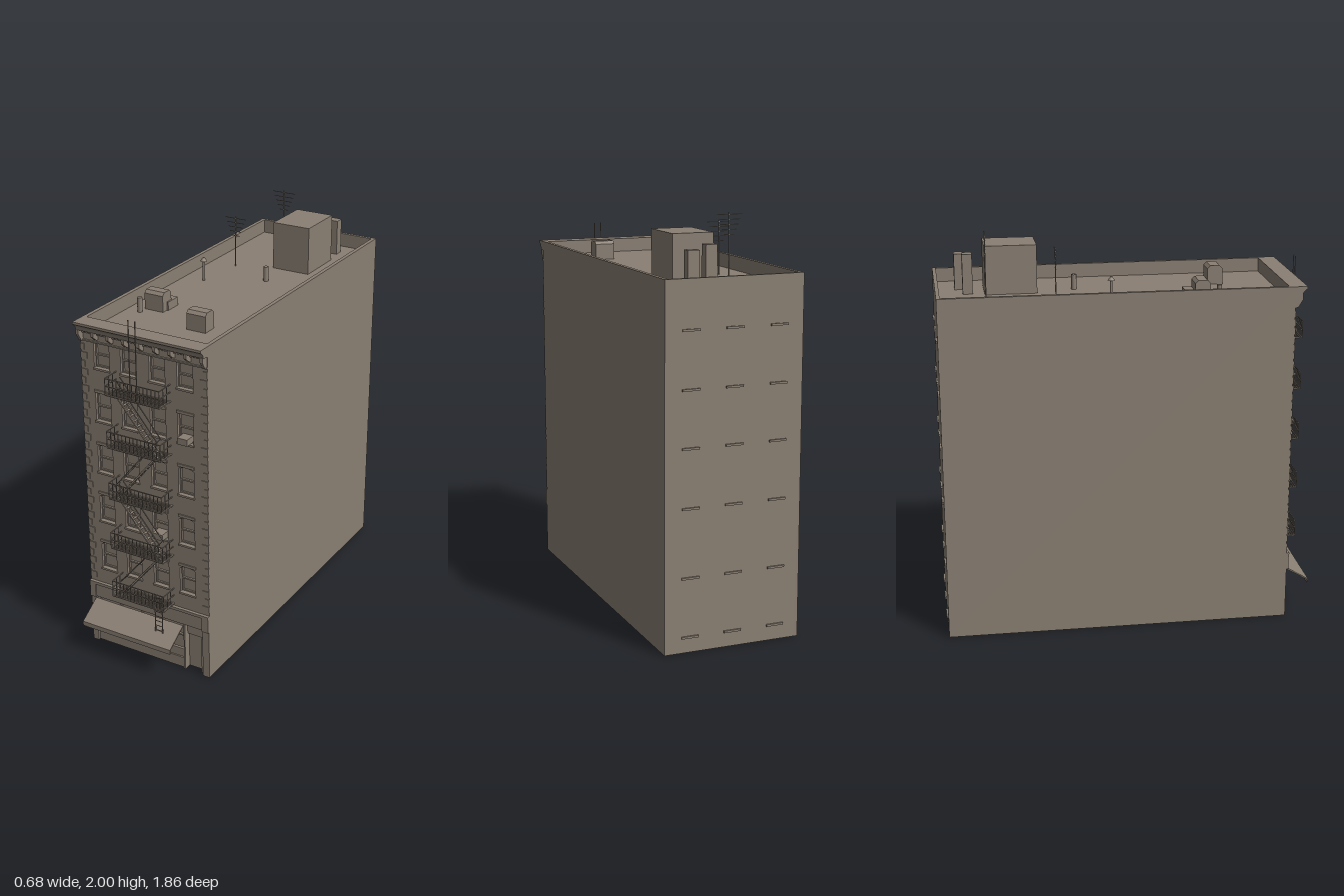
import * as THREE from 'three';

const stone = new THREE.MeshStandardMaterial({ color: 0x8a7f73, side: THREE.DoubleSide });
stone.name = 'taupe stone';

const W = 0.342, FRONT = 0.8, BACK = -0.922, TOP = 1.74, ROOF = 1.67;

function add(parent, name, geometry) {
  const mesh = new THREE.Mesh(geometry, stone);
  mesh.name = name;
  parent.add(mesh);
  return mesh;
}

// Box given by its limits on each axis
function box(parent, name, x0, x1, y0, y1, z0, z1) {
  const mesh = add(parent, name, new THREE.BoxGeometry(x1 - x0, y1 - y0, z1 - z0));
  mesh.position.set((x0 + x1) / 2, (y0 + y1) / 2, (z0 + z1) / 2);
  return mesh;
}

// Square bar between two points
function bar(parent, name, a, b, size = 0.004) {
  const from = new THREE.Vector3(...a), to = new THREE.Vector3(...b);
  const mesh = add(parent, name, new THREE.BoxGeometry(size, size, from.distanceTo(to)));
  mesh.position.copy(from).add(to).multiplyScalar(0.5);
  mesh.lookAt(to);
  return mesh;
}

function cylinder(parent, name, x, z, r, y0, y1, rTop = r) {
  const mesh = add(parent, name, new THREE.CylinderGeometry(rTop, r, y1 - y0, 10));
  mesh.position.set(x, (y0 + y1) / 2, z);
}

// Side profile of [z, y] points extruded across x0..x1
function profile(parent, name, points, x0, x1) {
  const shape = new THREE.Shape(points.map(([z, y]) => new THREE.Vector2(-z, y)));
  const geometry = new THREE.ExtrudeGeometry(shape, { depth: x1 - x0, bevelEnabled: false });
  geometry.rotateY(Math.PI / 2);
  geometry.translate(x0, 0, 0);
  return add(parent, name, geometry);
}

function group(parent, name) {
  const g = new THREE.Group();
  g.name = name;
  parent.add(g);
  return g;
}

const columns = [-0.227, -0.08, 0.075, 0.223];
const rows = [0.44, 0.705, 0.97, 1.24, 1.51];
const winHalf = 0.042;
const winHeight = (i) => (i === 4 ? 0.125 : 0.142);

function buildShell(root) {
  const g = group(root, 'shell');
  box(g, 'leftWall', W - 0.02, W, 0, TOP, BACK, FRONT);
  box(g, 'rightWall', -W, -W + 0.02, 0, TOP, BACK, FRONT);
  box(g, 'backWall', -W + 0.02, W - 0.02, 0, TOP, BACK, BACK + 0.018);
  box(g, 'roof', -W + 0.02, W - 0.02, ROOF - 0.01, ROOF, BACK + 0.018, FRONT - 0.03);
  // Rear window sills
  for (const y of [0.075, 0.36, 0.69, 0.97, 1.24, 1.51])
    for (const x of [-0.22, 0, 0.215]) box(g, 'rearSill', x - 0.043, x + 0.043, y - 0.005, y + 0.005, -0.93, BACK);
}

function buildFacade(root) {
  const g = group(root, 'facade');
  // Front wall with the shop opening cut into its outline
  const wall = new THREE.Shape();
  [[-W, 0], [-0.31, 0], [-0.31, 0.26], [0.305, 0.26], [0.305, 0], [W, 0], [W, TOP], [-W, TOP]]
    .forEach(([x, y], i) => (i ? wall.lineTo(x, y) : wall.moveTo(x, y)));
  rows.forEach((y, i) => columns.forEach((x) => {
    const top = y + winHeight(i), side = i < 3 ? top - 0.01 : top;
    const hole = new THREE.Path();
    hole.moveTo(x - winHalf, y).lineTo(x - winHalf, side);
    hole.quadraticCurveTo(x, top + (top - side), x + winHalf, side);
    hole.lineTo(x + winHalf, y).closePath();
    wall.holes.push(hole);
  }));
  const geometry = new THREE.ExtrudeGeometry(wall, { depth: 0.03, bevelEnabled: false, curveSegments: 6 });
  geometry.translate(0, 0, FRONT - 0.03);
  add(g, 'frontWall', geometry);

  // Sash windows, sills and lintels
  rows.forEach((y, i) => columns.forEach((x) => {
    const h = winHeight(i), l = x - winHalf, r = x + winHalf;
    box(g, 'windowPane', l, r, y, y + h, 0.772, 0.776);
    box(g, 'sashStile', l, l + 0.006, y, y + h, 0.776, 0.786);
    box(g, 'sashStile', r - 0.006, r, y, y + h, 0.776, 0.786);
    box(g, 'meetingRail', l, r, y + h / 2 - 0.004, y + h / 2 + 0.004, 0.776, 0.786);
    box(g, 'bottomRail', l, r, y, y + 0.007, 0.776, 0.784);
    box(g, 'windowSill', l - 0.004, r + 0.004, y - 0.01, y, FRONT, 0.807);
    if (i < 4) box(g, 'lintel', l - 0.004, r + 0.004, y + h + 0.002, y + h + 0.016, FRONT, 0.805);
  }));
  box(g, 'airConditioner', 0.197, 0.25, 1.243, 1.275, 0.775, 0.832);
  box(g, 'airConditioner', 0.05, 0.105, 0.708, 0.74, 0.775, 0.832);

  // Corner quoins
  for (let i = 0; i < 30; i++) {
    const y = 0.37 + i * 0.042, w = i % 2 ? 0.022 : 0.036;
    box(g, 'quoin', -W, -W + w, y, y + 0.03, FRONT, 0.804);
    box(g, 'quoin', W - w, W, y, y + 0.03, FRONT, 0.804);
  }

  // Cornice with brackets and dentils
  profile(g, 'cornice', [[FRONT, 1.69], [0.835, 1.695], [0.838, 1.71], [0.848, 1.722], [0.858, 1.728], [0.858, TOP], [FRONT, TOP]], -W, W);
  box(g, 'frieze', -W, W, 1.635, 1.642, FRONT, 0.808);
  for (let i = 0; i < 9; i++) {
    const x = -0.332 + i * 0.083, end = i % 8 === 0;
    profile(g, 'corniceBracket', [[FRONT, end ? 1.635 : 1.65], [0.815, end ? 1.637 : 1.655], [0.838, 1.675], [0.838, 1.697], [FRONT, 1.697]], x - 0.007, x + 0.007);
    if (i < 8) for (let k = 1; k < 5; k++) box(g, 'dentil', x + k * 0.0166 - 0.004, x + k * 0.0166 + 0.004, 1.68, 1.692, FRONT, 0.818);
  }
}

function buildShopfront(root) {
  const g = group(root, 'shopfront');
  box(g, 'signFascia', -0.31, 0.305, 0.262, 0.335, FRONT, 0.807);
  box(g, 'fasciaMoulding', -W, W, 0.335, 0.35, FRONT, 0.816);
  for (const [a, b] of [[-W, -0.31], [0.305, W]]) {
    box(g, 'pilaster', a, b, 0, 0.26, FRONT, 0.804);
    box(g, 'pilasterCapital', a, b, 0.26, 0.335, FRONT, 0.814);
  }
  // Recessed glazing and stall riser
  box(g, 'shopGlass', -0.31, 0.195, 0.1, 0.26, 0.765, 0.77);
  box(g, 'stallRiser', -0.31, 0.195, 0, 0.055, 0.76, 0.79);
  box(g, 'riserPanel', -0.31, 0.195, 0.055, 0.1, 0.76, 0.782);
  for (let i = 0; i <= 4; i++) {
    const x = -0.306 + i * 0.124;
    box(g, 'shopMullion', x - 0.004, x + 0.004, 0.1, 0.26, 0.77, 0.78);
  }
  box(g, 'transomBar', -0.31, 0.195, 0.175, 0.183, 0.77, 0.78);
  // Door bay
  box(g, 'doorPost', 0.195, 0.203, 0, 0.26, 0.76, FRONT);
  box(g, 'door', 0.203, 0.29, 0, 0.195, 0.752, 0.76);
  box(g, 'doorTransom', 0.203, 0.305, 0.195, 0.26, 0.76, 0.775);
  box(g, 'doorJamb', 0.287, 0.305, 0, 0.195, 0.752, 0.785);
  // Awning sheet with a hanging valance
  profile(g, 'awning', [[0.805, 0.25], [0.81, 0.256], [0.93, 0.182], [0.93, 0.158], [0.926, 0.158], [0.926, 0.178]], -0.31, 0.198);
}

function buildFireEscape(root) {
  const g = group(root, 'fireEscape');
  const levels = [0.362, 0.63, 0.897, 1.165, 1.432];
  const l = -0.148, r = 0.144, out = 0.893, railH = 0.083;
  levels.forEach((y, n) => {
    const b = group(g, 'balcony');
    // Slatted floor
    for (let i = 0; i <= 8; i++) {
      const z = 0.805 + i * 0.011;
      bar(b, 'floorSlat', [l, y, z], [r, y, z], 0.005);
    }
    for (const x of [l, r]) bar(b, 'floorBearer', [x, y, FRONT], [x, y, out], 0.006);
    // Railings on three sides
    for (const h of [0.045, railH]) {
      bar(b, 'frontRail', [l, y + h, out], [r, y + h, out]);
      for (const x of [l, r]) bar(b, 'sideRail', [x, y + h, FRONT], [x, y + h, out]);
    }
    for (let i = 0; i <= 14; i++) {
      const x = l + (r - l) * i / 14;
      bar(b, 'baluster', [x, y, out], [x, y + railH, out], 0.003);
    }
    for (const x of [l, r]) for (const z of [0.83, 0.86]) bar(b, 'baluster', [x, y, z], [x, y + railH, z], 0.003);

    // Stair down to the level below, alternating direction
    if (n === 0) return;
    const s = n % 2 ? 1 : -1, low = levels[n - 1];
    const x0 = s * 0.105, x1 = -s * 0.115;
    for (const z of [0.835, 0.87]) {
      bar(g, 'stairStringer', [x0, y, z], [x1, low, z], 0.008);
      bar(g, 'stairHandrail', [x0, y + railH - 0.005, z], [x1, low + railH - 0.005, z]);
    }
    for (let i = 1; i < 12; i++) {
      const t = i / 12, x = x0 + (x1 - x0) * t, sy = y + (low - y) * t;
      box(g, 'stairTread', x - 0.007, x + 0.007, sy - 0.001, sy + 0.001, 0.835, 0.87);
    }
  });
  // Drop ladder and roof ladder
  for (const x of [0.08, 0.12]) bar(g, 'dropLadderRail', [x, 0.22, 0.87], [x, 0.43, 0.87]);
  for (let i = 0; i < 8; i++) bar(g, 'dropLadderRung', [0.08, 0.23 + i * 0.026, 0.87], [0.12, 0.23 + i * 0.026, 0.87], 0.003);
  for (const x of [-0.02, 0.016]) bar(g, 'roofLadderRail', [x, 1.432, 0.878], [x, 1.82, 0.878]);
}

function antenna(root, x, z, top, halfWidth) {
  const g = group(root, 'antenna');
  bar(g, 'mast', [x, ROOF, z], [x, top, z], 0.005);
  for (let i = 0; i < 5; i++) {
    const y = top - 0.01 - i * 0.023, w = halfWidth * (1 - i * 0.15);
    bar(g, 'antennaElement', [x - w, y, z], [x + w, y, z], 0.003);
  }
}

// Roof hatch: base with chamfered lid
function hatch(root, x0, x1, z0, z1, top) {
  const c = 0.015;
  profile(root, 'roofVent', [[z0, ROOF], [z1, ROOF], [z1, top - c], [z1 - c, top], [z0 + c, top], [z0, top - c]], x0, x1);
}

function buildRoofItems(root) {
  const g = group(root, 'roofItems');
  box(g, 'stairBulkhead', 0, 0.202, ROOF, 1.912, -0.675, -0.418);
  box(g, 'chimney', 0.027, 0.083, ROOF, 1.868, -0.782, -0.733);
  box(g, 'chimney', 0.13, 0.187, ROOF, 1.85, -0.818, -0.77);
  antenna(g, -0.08, -0.675, 2, 0.065);
  antenna(g, -0.18, -0.345, 1.935, 0.06);
  box(g, 'ventBase', -0.255, -0.138, ROOF, 1.712, 0.28, 0.365);
  hatch(g, -0.248, -0.146, 0.325, 0.4, 1.765);
  hatch(g, 0.063, 0.165, 0.447, 0.525, 1.765);
  cylinder(g, 'pipe', 0.062, -0.23, 0.013, ROOF, 1.745);
  cylinder(g, 'pipe', -0.248, 0.443, 0.013, ROOF, 1.742);
  cylinder(g, 'flue', -0.21, -0.08, 0.007, ROOF, 1.772);
  cylinder(g, 'flueCap', -0.21, -0.08, 0.018, 1.772, 1.79, 0.005);
}

export function createModel() {
  const root = new THREE.Group();
  root.name = 'apartmentBuilding';
  buildShell(root);
  buildFacade(root);
  buildShopfront(root);
  buildFireEscape(root);
  buildRoofItems(root);
  return root;
}
